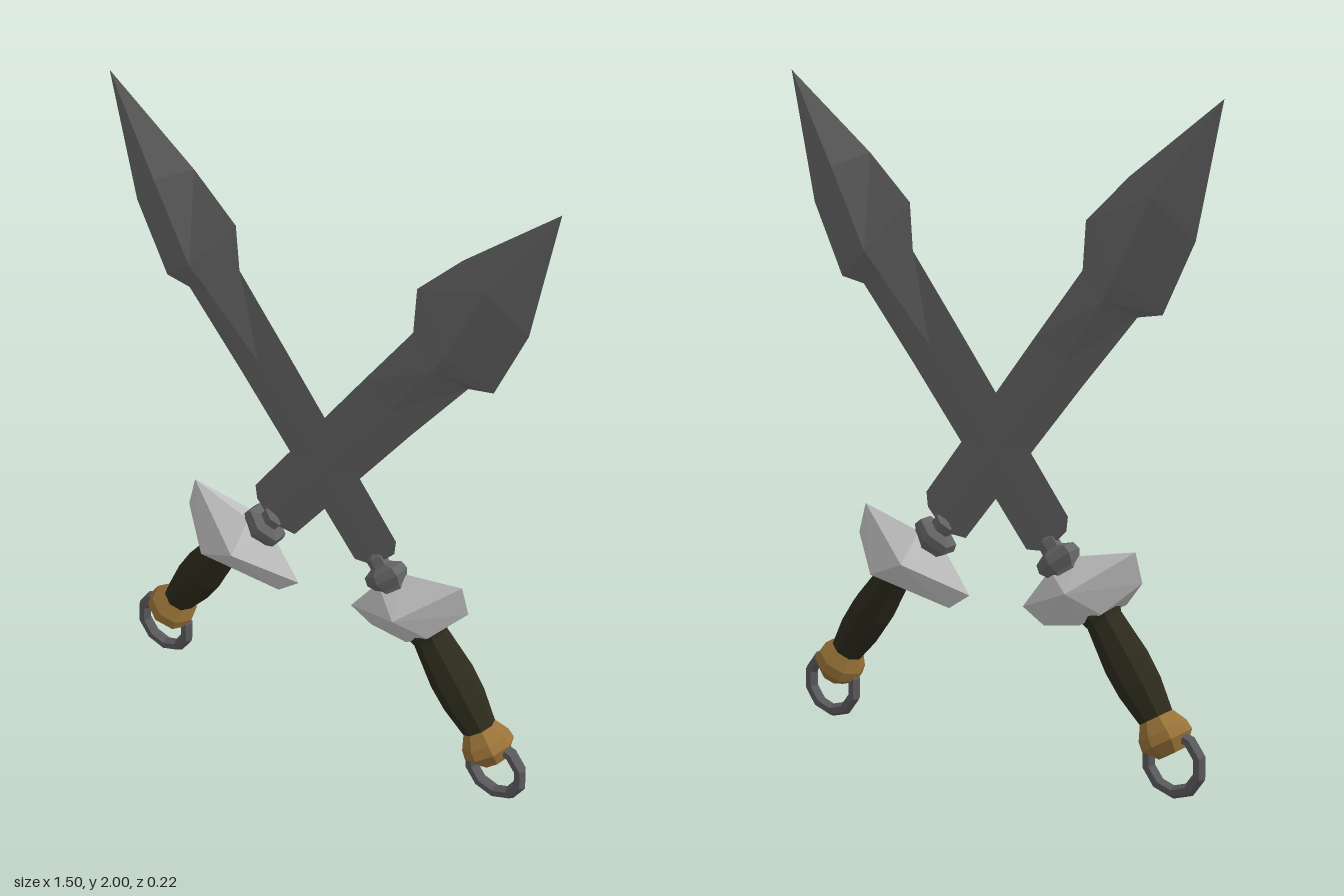
import * as THREE from 'three';
import { ConvexGeometry } from 'three/addons/geometries/ConvexGeometry.js';

const material = (name, color) => {
  const m = new THREE.MeshStandardMaterial({ color });
  m.name = name;
  return m;
};

// Faceted look: every face gets its own normal
function faceted(geometry) {
  const g = geometry.index ? geometry.toNonIndexed() : geometry;
  g.computeVertexNormals();
  return g;
}

function part(name, geometry, mat) {
  const mesh = new THREE.Mesh(faceted(geometry), mat);
  mesh.name = name;
  return mesh;
}

// Turned part: profile of [radius, distance] along an axis tilted towards +x
function turned(name, profile, sides, x, y, tilt, mat) {
  const points = profile.map(([r, d]) => new THREE.Vector2(r, d));
  const mesh = part(name, new THREE.LatheGeometry(points, sides), mat);
  mesh.position.set(x, y, 0);
  mesh.rotation.z = -tilt;
  return mesh;
}

// Diamond sections: [left x, left y, right x, right y, ridge x, ridge y, half thickness]
function bladeGeometry(sections) {
  const positions = [];
  const index = [];
  for (const [lx, ly, rx, ry, mx, my, t] of sections) {
    positions.push(lx, ly, 0, mx, my, t, rx, ry, 0, mx, my, -t);
  }
  for (let i = 0; i < sections.length - 1; i++) {
    for (let k = 0; k < 4; k++) {
      const a = i * 4 + k, b = i * 4 + (k + 1) % 4;
      index.push(a, b, b + 4, a, b + 4, a + 4);
    }
  }
  const g = new THREE.BufferGeometry();
  g.setAttribute('position', new THREE.Float32BufferAttribute(positions, 3));
  g.setIndex(index);
  return g;
}

function createSword(name, mats) {
  const sword = new THREE.Group();
  sword.name = name;

  // Slim blade widening into a thick leaf-shaped head
  sword.add(part('blade', bladeGeometry([
    [-0.21, 0.69, -0.21, 0.69, -0.21, 0.69, 0],
    [-0.25, 0.73, -0.18, 0.66, -0.21, 0.695, 0.008],
    [-0.255, 0.775, -0.11, 0.655, -0.18, 0.715, 0.007],
    [0.135, 1.283, 0.30, 1.16, 0.235, 1.22, 0.007],
    [0.30, 1.495, 0.485, 1.38, 0.39, 1.42, 0.038],
    [0.31, 1.637, 0.567, 1.395, 0.44, 1.49, 0.055],
    [0.455, 1.772, 0.67, 1.61, 0.56, 1.73, 0.055],
    [0.752, 2, 0.752, 2, 0.752, 2, 0],
  ]), mats.blade));

  // Knobbly neck between guard and blade
  const neck = turned('bladeNeck',
    [[0, 0], [0.05, 0], [0.055, 0.05], [0.076, 0.08], [0.07, 0.105], [0.036, 0.12], [0.036, 0.15], [0, 0.165]],
    6, -0.275, 0.575, 0.66, mats.blade);
  neck.scale.z = 0.7;
  sword.add(neck);

  // Faceted, slightly twisted guard
  const corners = [
    [-0.487, 0.706, 0], [-0.505, 0.615, 0.01], [-0.40, 0.515, 0.09], [-0.405, 0.52, -0.05],
    [-0.165, 0.432, 0.01], [-0.097, 0.48, 0], [-0.27, 0.655, 0.02], [-0.20, 0.61, -0.01],
    [-0.27, 0.57, 0.107], [-0.32, 0.58, -0.11], [-0.33, 0.475, -0.05],
  ];
  sword.add(part('guard', new ConvexGeometry(corners.map((c) => new THREE.Vector3(...c))), mats.guard));

  // Swelling grip
  sword.add(turned('grip',
    [[0, 0], [0.05, 0], [0.067, 0.11], [0.069, 0.19], [0.055, 0.325], [0.062, 0.345], [0.05, 0.375], [0, 0.375]],
    8, -0.57, 0.222, 0.61, mats.grip));

  // Metal pommel
  sword.add(turned('pommel',
    [[0, 0], [0.045, 0], [0.08, 0.04], [0.076, 0.07], [0.052, 0.112], [0, 0.112]],
    8, -0.622, 0.137, 0.55, mats.pommel));

  // Ring through the pommel
  const ring = part('pommelRing', new THREE.TorusGeometry(0.089, 0.02, 6, 10), mats.ring);
  ring.position.set(-0.625, 0.11, 0);
  ring.rotation.z = 0.3;
  sword.add(ring);

  return sword;
}

export function createModel() {
  const mats = {
    blade: material('dark steel', 0x666666),
    guard: material('pale steel', 0xc4c4c4),
    grip: material('dark leather', 0x2c2b1c),
    pommel: material('brass', 0x9a7338),
    ring: material('ring steel', 0x5c5c5f),
  };
  const model = new THREE.Group();
  model.name = 'crossedSwords';

  // The second sword is the first turned half round
  const first = createSword('firstSword', mats);
  const second = createSword('secondSword', mats);
  second.rotation.y = Math.PI;
  model.add(first, second);
  return model;
}
